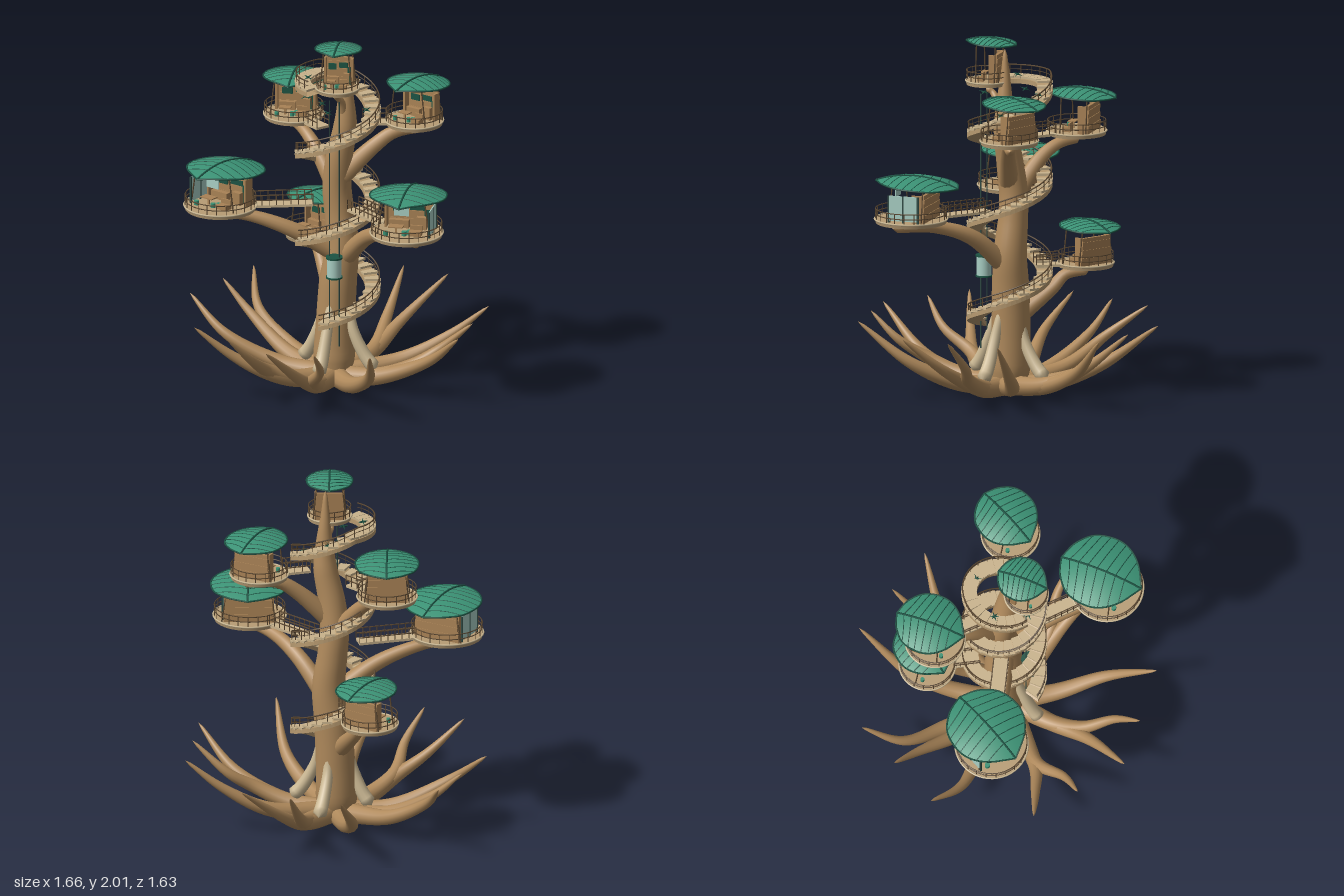
import * as THREE from 'three';
import { mergeGeometries, mergeVertices } from 'three/addons/utils/BufferGeometryUtils.js';
import { ParametricGeometry } from 'three/addons/geometries/ParametricGeometry.js';

const mat = (color, flatShading = false) =>
  new THREE.MeshStandardMaterial({ color, flatShading, side: THREE.DoubleSide });
const BARK = mat(0xb08a5c), PALE = mat(0xcbb893), WOOD = mat(0xa98255, true), DECK = mat(0xc9b38c, true),
  RAIL = mat(0x5e4a33), LEAF = mat(0x3b9275), VEIN = mat(0x1c5343), GLASS = mat(0xa9cfc4), DARK = mat(0x2f4a44);

const V = (x, y, z) => new THREE.Vector3(x, y, z);
const path = pts => new THREE.CatmullRomCurve3(pts.map(p => p.isVector3 ? p : V(...p)));

function add(parent, name, geo, material) {
  const m = new THREE.Mesh(geo, material);
  m.name = name;
  parent.add(m);
  return m;
}
const box = (w, h, d, x, y, z, ry = 0) => new THREE.BoxGeometry(w, h, d).rotateY(ry).translate(x, y, z);
const cyl = (r, h, x, y, z, n = 6) => new THREE.CylinderGeometry(r, r, h, n).translate(x, y, z);
const rod = (pts, r, n = 8) => new THREE.TubeGeometry(path(pts), n, r, 5);

// Tube whose radius follows rad(t); the last ring closes to a point
function limb(pts, rad, seg = 24, sides = 12) {
  const curve = path(pts), g = new THREE.TubeGeometry(curve, seg, 1, sides), pos = g.attributes.position, v = V(0, 0, 0);
  for (let i = 0; i <= seg; i++) {
    const c = curve.getPointAt(i / seg), r = i === seg ? 0.0005 : rad(i / seg);
    for (let j = 0; j <= sides; j++) {
      const k = i * (sides + 1) + j;
      v.fromBufferAttribute(pos, k).sub(c).multiplyScalar(r).add(c);
      pos.setXYZ(k, v.x, v.y, v.z);
    }
  }
  g.deleteAttribute('uv');
  g.deleteAttribute('normal');
  const m = mergeVertices(g, 1e-5);
  m.computeVertexNormals();
  return m;
}

// Spiral stair layout: angle a from +z towards +x
const CX = 0.005, CZ = -0.035, R0 = 0.15, R1 = 0.235, TOP = 1.755, TURNS = 2.95;
const stairY = a => Math.min(TOP, 0.41 + 0.51 * a / (2 * Math.PI));
const onRing = (a, r, dy) => V(CX + r * Math.sin(a), stairY(a) + dy, CZ + r * Math.cos(a));

function buildStair() {
  const g = new THREE.Group(), A = TURNS * 2 * Math.PI, steps = [], posts = [];
  g.name = 'spiralStair';
  const corners = [[R0, -0.035], [R1, -0.035], [R1, -0.01], [R0, -0.01], [R0, -0.035]];
  add(g, 'stairStringer', new ParametricGeometry((u, v, t) => {
    const [r, dy] = corners[Math.round(u * 4)];
    t.copy(onRing(v * A, r, dy));
  }, 4, 160), mat(0xb79a70, true));
  const n = 70;
  for (let i = 0; i < n; i++) {
    const a = (i + 0.5) / n * A, p = onRing(a, (R0 + R1) / 2, 0), q = onRing(a, R1 - 0.006, 0.025);
    const s = new THREE.BoxGeometry(0.058, 0.012, R1 - R0).toNonIndexed(), at = s.attributes.position;
    for (let k = 0; k < at.count; k++) if (at.getZ(k) < 0) at.setX(k, at.getX(k) * 0.66);
    steps.push(s.rotateY(a).translate(p.x, p.y, p.z));
    posts.push(cyl(0.0025, 0.06, q.x, q.y, q.z, 5));
  }
  add(g, 'stairTreads', mergeGeometries(steps), DECK);
  add(g, 'stairPosts', mergeGeometries(posts), RAIL);
  for (const dy of [0.03, 0.055]) {
    const pts = Array.from({ length: 90 }, (_, i) => onRing(i / 89 * A, R1 - 0.006, dy));
    add(g, 'stairHandrail', rod(pts, dy > 0.04 ? 0.004 : 0.002, 240), RAIL);
  }
  return g;
}

// Leaf roof: u across, v from back (0) to front tip (1)
const PROFILE = [[0, 0], [0.06, 0.42], [0.22, 0.85], [0.45, 1], [0.66, 0.92], [0.85, 0.58], [1, 0]];
function leafWidth(v) {
  const c = new THREE.SplineCurve(PROFILE.map(p => new THREE.Vector2(...p)));
  let lo = 0, hi = 1;
  for (let i = 0; i < 24; i++) {
    const m = (lo + hi) / 2;
    if (c.getPoint(m).x < v) lo = m; else hi = m;
  }
  return v <= 0 || v >= 1 ? 0 : Math.max(0, c.getPoint(lo).y);
}
function buildRoof(r) {
  const g = new THREE.Group();
  g.name = 'leafRoof';
  const at = (s, v, lift = 0) => {
    const x = s * leafWidth(v), l = v * 2 - 1;
    return V(x * r * 1.05, 0.238 - r * (0.2 * x * x + 0.24 * l * l - 0.05 * l) + lift, l * r * 1.19 - r * 0.17);
  };
  const leaf = new ParametricGeometry((u, v, t) => t.copy(at(u * 2 - 1, v)), 16, 28);
  leaf.computeVertexNormals();
  add(g, 'leafBlade', leaf, LEAF);
  const line = f => Array.from({ length: 17 }, (_, i) => f(i / 16));
  const veins = [rod(line(t => at(0, t, 0.002)), 0.006, 24)];
  for (const s of [-1, 1]) {
    veins.push(rod(line(t => at(s, t)), 0.005, 40));
    for (let k = 0; k < 7; k++)
      veins.push(rod([0, 0.33, 0.66, 1].map(t => at(s * t, 0.1 + k * 0.115 + 0.13 * t * (1 - k / 9))), 0.0025, 8));
  }
  add(g, 'leafVeins', mergeGeometries(veins), VEIN);
  return g;
}

// Round deck with railing, planked back wall, furniture and leaf roof
function buildHut({ x, y, z, r, yaw, glass = 0 }) {
  const g = new THREE.Group();
  g.name = 'hut';
  add(g, 'deck', new THREE.CylinderGeometry(r, r * 0.97, 0.022, 40).translate(0, -0.011, 0), mat(0xb89d75));
  add(g, 'deckEdge', new THREE.TorusGeometry(r, 0.005, 6, 48).rotateX(Math.PI / 2), PALE);
  const posts = [], n = Math.round(r * 110);
  for (let i = 0; i < n; i++) {
    const a = i / n * Math.PI * 2;
    posts.push(cyl(0.0025, 0.058, Math.sin(a) * r * 0.97, 0.029, Math.cos(a) * r * 0.97, 5));
  }
  for (const h of [0.03, 0.058])
    posts.push(new THREE.TorusGeometry(r * 0.97, 0.003, 5, 48).rotateX(Math.PI / 2).translate(0, h, 0));
  add(g, 'railing', mergeGeometries(posts), RAIL);

  const W = r * 1.38, H = 0.155, wz = -r * 0.55, planks = [];
  for (let i = 0; i < 7; i++)
    planks.push(box(W - i * 0.004, H / 7, 0.018 + (i % 2) * 0.007, 0, (i + 0.5) * H / 7, wz));
  for (const s of [-1, 1]) planks.push(box(0.012, H, r * 0.3, s * (W / 2 - 0.008), H / 2, wz + r * 0.15));
  add(g, 'backWall', mergeGeometries(planks), WOOD);
  add(g, 'windows', mergeGeometries([
    box(W * 0.26, 0.035, 0.006, -W * 0.22, 0.1, wz + 0.014), box(W * 0.3, 0.03, 0.006, W * 0.14, 0.11, wz + 0.014),
    box(W * 0.14, 0.1, 0.006, W * 0.36, 0.05, wz + 0.014)]), VEIN);

  // Counter, table, stools and cabinet
  add(g, 'furniture', mergeGeometries([
    box(W * 0.4, 0.045, r * 0.16, -W * 0.2, 0.0225, wz + r * 0.2), box(W * 0.2, 0.07, r * 0.16, W * 0.26, 0.035, wz + r * 0.25),
    box(r * 0.4, 0.006, r * 0.26, -r * 0.25, 0.042, r * 0.2), box(0.01, 0.04, 0.01, -r * 0.25, 0.02, r * 0.2),
    box(r * 0.34, 0.025, r * 0.22, r * 0.3, 0.0125, r * 0.25), box(r * 0.34, 0.05, 0.01, r * 0.3, 0.025, r * 0.12)]), WOOD);
  add(g, 'stools', mergeGeometries([-0.5, 0, 0.12].map((s, i) => cyl(r * 0.07, 0.025, s * r, 0.0125, r * (0.42 - i * 0.1), 10))), LEAF);

  // Slanted roof posts
  const props = [];
  for (const s of [-1, 1]) for (const [pz, h] of [[-0.55, 0.2], [0.35, 0.205]])
    props.push(rod([[s * r * 0.74, 0, pz * r], [s * r * 0.58, h, pz * r]], 0.004, 1));
  add(g, 'roofPosts', mergeGeometries(props), RAIL);

  // Glazed side screen and front pane on the larger huts
  if (glass) {
    add(g, 'glassScreen', mergeGeometries([
      box(0.006, 0.14, r * 0.85, glass * r * 0.72, 0.08, -r * 0.02),
      box(r * 0.42, 0.06, 0.006, glass * -r * 0.05, 0.15, r * 0.4)]), GLASS);
    add(g, 'screenFrame', mergeGeometries([-0.45, -0.02, 0.4].map(k => box(0.009, 0.15, 0.009, glass * r * 0.72, 0.075, r * k))), DARK);
  }
  g.add(buildRoof(r));
  g.position.set(x, y, z);
  g.rotation.y = yaw;
  return g;
}

// Footbridge from the stair to the deck edge
function buildBridge({ x, y, z, r }) {
  const g = new THREE.Group(), dx = x - CX, dz = z - CZ, D = Math.hypot(dx, dz), a = Math.atan2(dx, dz);
  const from = 0.14, to = D - r + 0.015, L = to - from;
  g.name = 'bridge';
  add(g, 'bridgeDeck', box(0.085, 0.014, L, 0, -0.006, (from + to) / 2), DECK);
  const rails = [];
  for (const s of [-0.04, 0.04]) {
    for (const h of [0.03, 0.058]) rails.push(box(0.005, 0.005, L, s, h, (from + to) / 2));
    const n = Math.max(2, Math.round(L / 0.04));
    for (let i = 0; i <= n; i++) rails.push(box(0.004, 0.06, 0.004, s, 0.03, from + L * i / n));
  }
  add(g, 'bridgeRails', mergeGeometries(rails), RAIL);
  g.position.set(CX, y, CZ);
  g.rotation.y = a;
  return g;
}

export function createModel() {
  const model = new THREE.Group();
  model.name = 'treeHouse';

  // Trunk: x, y, z, radius
  const T = [[0, 0.04, 0, 0.09], [-0.01, 0.15, -0.02, 0.115], [-0.008, 0.35, -0.033, 0.108], [0.005, 0.6, -0.04, 0.104], [0.025, 0.8, -0.05, 0.092],
    [0.003, 1.0, -0.055, 0.082], [-0.008, 1.14, -0.05, 0.08], [0.01, 1.3, -0.04, 0.075], [0.05, 1.5, -0.037, 0.066],
    [0.055, 1.66, -0.035, 0.045], [0.05, 1.8, -0.035, 0.026], [0.05, 1.95, -0.033, 0.008]];
  const radiusAt = y => {
    let i = 1;
    while (i < T.length - 1 && T[i][1] < y) i++;
    return THREE.MathUtils.mapLinear(y, T[i - 1][1], T[i][1], T[i - 1][3], T[i][3]);
  };
  const trunkCurve = path(T.map(p => p.slice(0, 3)));
  add(model, 'trunk', limb(T.map(p => p.slice(0, 3)), t => radiusAt(trunkCurve.getPointAt(t).y), 60, 24), BARK);

  // Upswept roots as ground-plan points (x, z); forked ones share their first points
  const roots = [
    [[-0.12, -0.22], [-0.24, -0.47], [-0.285, -0.82]], [[0.07, -0.33], [0.035, -0.56], [0.005, -0.82]],
    [[0.07, -0.33], [0.115, -0.55], [0.283, -0.815]], [[0.3, -0.25], [0.53, -0.37], [0.725, -0.445]],
    [[0.25, -0.02], [0.45, -0.06], [0.58, -0.13], [0.777, -0.15]], [[0.25, -0.02], [0.58, 0], [0.826, 0.115]],
    [[0.2, 0.18], [0.4, 0.36], [0.537, 0.61]], [[0.04, 0.28], [0.1, 0.44], [0.21, 0.57], [0.25, 0.72]],
    [[0.04, 0.28], [0.06, 0.5], [0, 0.81]], [[-0.13, 0.22], [-0.22, 0.38], [-0.22, 0.56], [-0.285, 0.71]],
    [[-0.13, 0.22], [-0.24, 0.38], [-0.38, 0.49], [-0.545, 0.61]], [[-0.3, 0.06], [-0.6, 0.15], [-0.83, 0.115]],
    [[-0.3, -0.07], [-0.6, -0.155], [-0.78, -0.18]], [[-0.35, -0.16], [-0.6, -0.26], [-0.73, -0.45]]];
  for (const plan of roots) {
    const tip = Math.hypot(...plan.at(-1));
    const pts = [[0, 0], ...plan].map(([x, z]) => {
      const s = Math.hypot(x, z) / tip;
      return [x, 0.43 * s * s + 0.055 * (1 - s) + 0.005, z];
    });
    add(model, 'root', limb(pts, t => 0.056 * Math.pow(1 - t, 0.75) + 0.004, 28), BARK);
  }

  // Pale buttresses against the foot of the trunk
  for (const [x, z] of [[0.01, 0.21], [0.25, -0.02], [0.01, -0.28], [-0.21, -0.02]])
    add(model, 'buttress', limb([[x * 0.3, 0.48, z * 0.3 - 0.02], [x * 0.46, 0.33, z * 0.46], [x * 0.75, 0.19, z * 0.75], [x, 0.12, z]],
      t => 0.024 + 0.016 * t, 16), PALE);

  // Huts, each with the limb that carries it (start point and bend)
  const huts = [
    { x: -0.54, y: 1.058, z: 0.31, r: 0.2, yaw: -0.2, glass: -1, arm: [[0.0, 0.76, -0.03], [-0.2, 0.91, 0.12]], reach: 0.03 },
    { x: 0.57, y: 1.058, z: 0.235, r: 0.2, yaw: 0.26, glass: 1, arm: [[0.03, 0.72, -0.04], [0.24, 0.92, 0.06]], reach: 0.12 },
    { x: 0.355, y: 1.515, z: -0.27, r: 0.16, yaw: -0.18, arm: [[0.02, 1.2, -0.04], [0.18, 1.38, -0.14]], reach: 0.1 },
    { x: -0.365, y: 1.45, z: -0.225, r: 0.165, yaw: 0.29, arm: [[0, 1.1, -0.05], [-0.18, 1.32, -0.12]], reach: 0.02 },
    { x: -0.3, y: 0.735, z: -0.33, r: 0.155, yaw: -0.3, arm: [[-0.01, 0.42, -0.04], [-0.17, 0.6, -0.2]], reach: 0.02 },
    { x: 0.06, y: 1.765, z: 0.075, r: 0.12, yaw: 0.29, arm: [[0.05, 1.5, -0.035], [0.055, 1.66, 0.02]], reach: 0.01 }];
  huts.forEach((h, i) => {
    model.add(buildHut(h));
    const [s, m] = h.arm, d = Math.hypot(h.x, h.z), k = 1 + h.reach / d;
    add(model, 'branch', limb([s, m, [h.x * 0.75, h.y - 0.065, h.z * 0.75], [h.x * k, h.y - 0.045, h.z * k]],
      t => (i === 5 ? 0.032 : 0.055) * (1 - 0.55 * t), 24), BARK);
    if (i < 5) model.add(buildBridge(h));
  });
  model.add(buildStair());

  // Lift: cables, round glass cab with cap and floor
  const lift = new THREE.Group();
  lift.name = 'lift';
  add(lift, 'cables', mergeGeometries([cyl(0.004, 1.42, 0.03, 0.98, 0, 6), cyl(0.003, 1.42, -0.03, 0.98, 0, 6)]), DARK);
  add(lift, 'cab', cyl(0.04, 0.105, 0, 0.725, 0, 20), GLASS);
  add(lift, 'cabCaps', mergeGeometries([cyl(0.047, 0.01, 0, 0.782, 0, 20), cyl(0.046, 0.008, 0, 0.668, 0, 20)]), VEIN);
  lift.position.set(0.055, 0, 0.103);
  model.add(lift);

  // Hanging sprigs below the upper landing
  for (const [x, y, z] of [[-0.165, 1.69, -0.02], [-0.15, 1.77, 0.02], [-0.11, 1.7, 0.13], [0, 1.68, 0.14], [0.01, 1.61, 0.09], [-0.02, 1.7, -0.21], [0.16, 1.6, -0.08]]) {
    const blades = [];
    for (let i = 0; i < 6; i++)
      blades.push(new THREE.ConeGeometry(0.006, 0.032, 4).translate(0, 0.014, 0).rotateZ(1.2 + (i % 2) * 0.7).rotateY(i * 1.05));
    add(model, 'sprig', mergeGeometries(blades).translate(x, y, z), VEIN);
  }
  return model;
}
